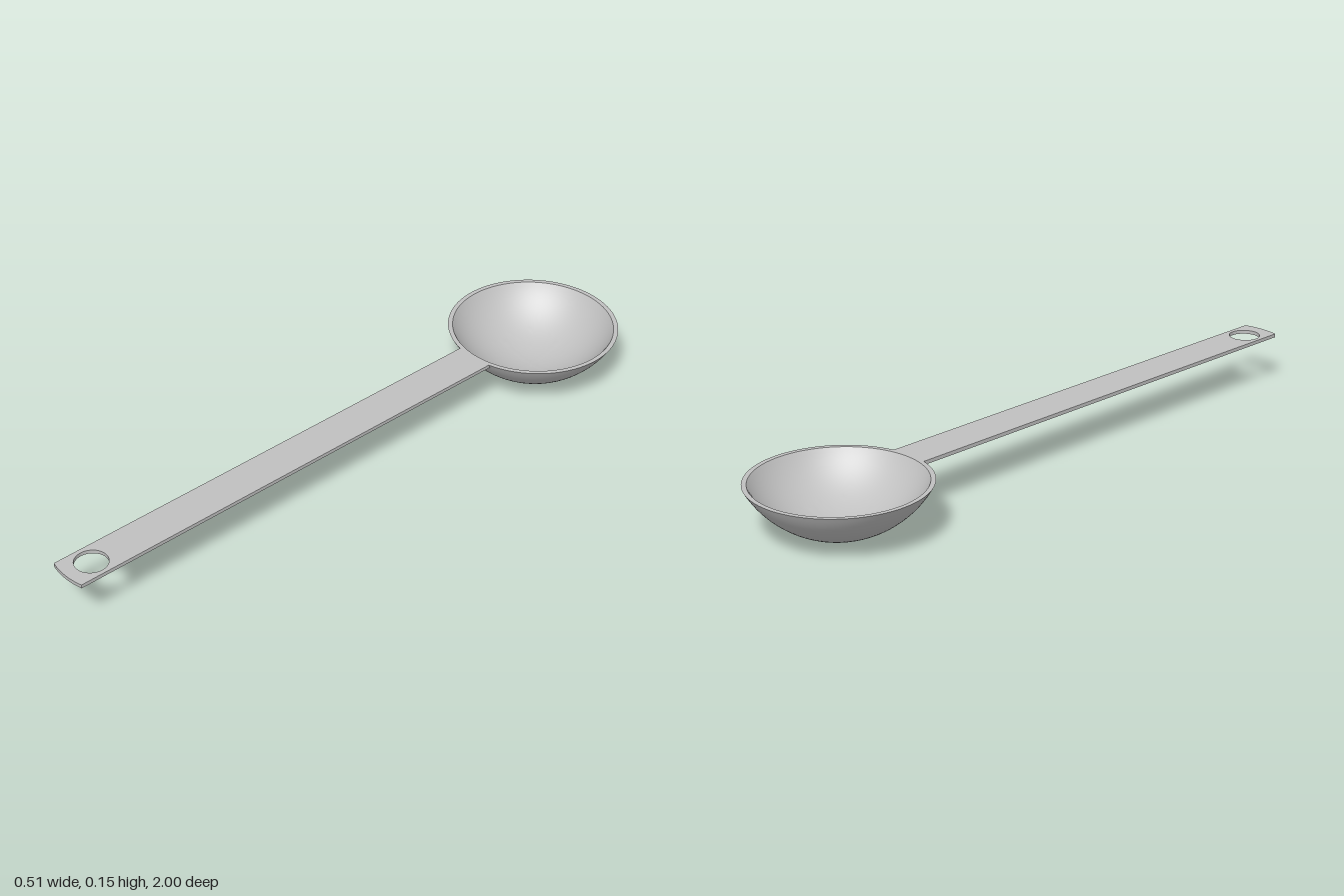
import * as THREE from 'three';
import { toCreasedNormals } from 'three/addons/utils/BufferGeometryUtils.js';

const TOP = 0.151;        // rim and handle top height
const BOWL_Z = -0.745;    // bowl centre
const OUTER = 0.292;      // outer sphere radius
const WALL = 0.012;

// Arc of a sphere centred at y = OUTER, from the pole up to the rim
function bowlArc(radius, steps) {
  const end = Math.acos((OUTER - TOP) / radius);
  return Array.from({ length: steps + 1 }, (_, i) => {
    const a = end * i / steps;
    return new THREE.Vector2(radius * Math.sin(a), OUTER - radius * Math.cos(a));
  });
}

export function createModel() {
  const group = new THREE.Group();
  const steel = new THREE.MeshStandardMaterial({ color: 0xc0c0c0 });
  steel.name = 'brushed grey';

  // Bowl: thin spherical cap with a flat rim
  const profile = [...bowlArc(OUTER, 24), ...bowlArc(OUTER - WALL, 24).reverse()];
  const bowl = new THREE.Mesh(toCreasedNormals(new THREE.LatheGeometry(profile, 80), 0.6), steel);
  bowl.name = 'bowl';
  bowl.position.z = BOWL_Z;
  group.add(bowl);

  // Handle: flat strip ending inside the bowl wall, with a hanging hole
  const half = 0.06;
  const join = 0.249;
  const a = Math.asin(half / join);
  const outline = new THREE.Shape();
  outline.absarc(0, BOWL_Z, join, Math.PI / 2 + a, Math.PI / 2 - a, true);
  outline.lineTo(half, 0.992);
  outline.quadraticCurveTo(0, 1.008, -half, 0.992);
  outline.closePath();
  const hole = new THREE.Path();
  hole.absarc(0, 0.915, 0.047, 0, Math.PI * 2, true);
  outline.holes.push(hole);
  const strip = new THREE.ExtrudeGeometry(outline, { depth: 0.011, bevelEnabled: false, curveSegments: 24 });
  strip.rotateX(Math.PI / 2);
  strip.translate(0, TOP, 0);
  const handle = new THREE.Mesh(toCreasedNormals(strip, 0.6), steel);
  handle.name = 'handle';
  group.add(handle);

  return group;
}
